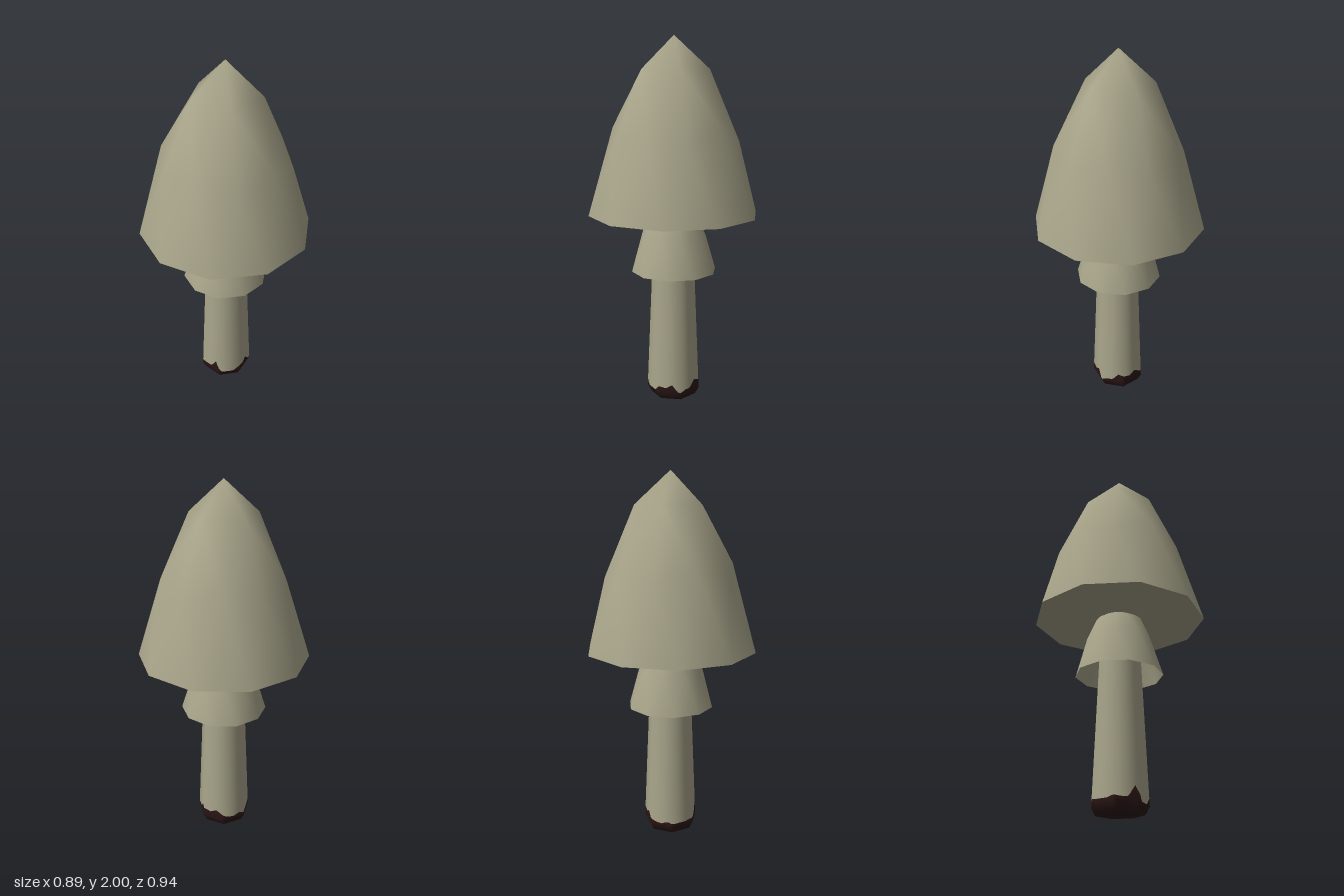
import * as THREE from 'three';

const cream = new THREE.MeshStandardMaterial({ color: 0xa8a48a, side: THREE.DoubleSide });
cream.name = 'paleCream';
const soil = new THREE.MeshStandardMaterial({ color: 0x2c1616 });
soil.name = 'darkSoil';

const rad = THREE.MathUtils.degToRad;
const polar = (deg, r, y) => [r * Math.cos(rad(deg)), y, r * Math.sin(rad(deg))];

function makeMesh(name, points, index, material) {
  const geo = new THREE.BufferGeometry();
  geo.setAttribute('position', new THREE.Float32BufferAttribute(points.flat(), 3));
  geo.setIndex(index);
  geo.computeVertexNormals();
  const mesh = new THREE.Mesh(geo, material);
  mesh.name = name;
  return mesh;
}

// Pointed half-dome: tip, ring of 5, ring of 5 low + 5 high, rim of 10
function dome(name) {
  const points = [[0, 0.95, 0]];
  const index = [];
  for (let k = 0; k < 5; k++) {
    const a = k * 72;
    points.push(
      polar(a, 0.191, 0.775), // upper ring
      polar(a, 0.351, 0.4), // low shoulder
      polar(a + 36, 0.336, 0.468), // high shoulder
      polar(a + 18, 0.469, 0), // rim
      polar(a + 54, 0.469, 0)
    );
  }
  for (let k = 0; k < 5; k++) {
    const id = (j, i) => 1 + ((j + 5) % 5) * 5 + i;
    const up = id(k, 0), low = id(k, 1), high = id(k, 2), rimA = id(k, 3), rimB = id(k, 4);
    const upNext = id(k + 1, 0), highPrev = id(k - 1, 2), rimPrev = id(k - 1, 4);
    index.push(
      0, upNext, up,
      up, upNext, high,
      up, high, low,
      up, low, highPrev,
      low, rimA, rimPrev,
      low, high, rimA,
      high, rimB, rimA
    );
    // link the shoulder back to the previous high point
    index.push(highPrev, low, rimPrev);
  }
  return makeMesh(name, points, index, cream);
}

// Seven-sided stem outline
const SIDES = 7, STEPS = 84, START = 45;
function sidedPoint(deg, r, y) {
  const side = 360 / SIDES;
  const off = ((((deg - START) % side) + side) % side) - side / 2;
  return polar(deg, (r * Math.cos(Math.PI / SIDES)) / Math.cos(rad(off)), y);
}
const stemRadius = (y) => 0.152 - (y - 0.04) * 0.043;

// Ragged height of the soil, every 15 degrees
const soilHeights = [
  0.045, 0.09, 0.07, 0.08, 0.045, 0.045, 0.045, 0.12, 0.065, 0.065, 0.07, 0.06,
  0.06, 0.06, 0.07, 0.055, 0.06, 0.08, 0.1, 0.08, 0.09, 0.1, 0.06, 0.06
];
function soilTop(deg) {
  const t = (deg % 360) / 15, i = Math.floor(t);
  return THREE.MathUtils.lerp(soilHeights[i % 24], soilHeights[(i + 1) % 24], t - i);
}

// Loft between rings given from bottom to top
function loft(name, rings, material) {
  const points = [], index = [];
  const row = STEPS + 1;
  rings.forEach((ring, j) => {
    for (let s = 0; s <= STEPS; s++) {
      points.push(ring(START + (s * 360) / STEPS));
      if (j === 0 || s === 0) continue;
      const hi = j * row + s, lo = hi - row;
      index.push(hi, lo, lo - 1, hi, lo - 1, hi - 1);
    }
  });
  return makeMesh(name, points, index, material);
}

export function createModel() {
  const group = new THREE.Group();
  group.name = 'mushroom';

  // Cap with a flat underside
  const cap = dome('cap');
  cap.position.y = 1.05;
  group.add(cap);
  const rim = [[0, 1.05, 0]], fan = [];
  for (let k = 0; k < 10; k++) {
    rim.push(polar(18 + k * 36, 0.469, 1.05));
    fan.push(0, 1 + k, 1 + ((k + 1) % 10));
  }
  group.add(makeMesh('capUnderside', rim, fan, cream));

  // Smaller hollow skirt below the cap
  const skirt = dome('skirt');
  skirt.scale.setScalar(0.505);
  skirt.position.y = 0.727;
  group.add(skirt);

  // Stem with softly rounded shading
  const stem = loft('stem', [
    (d) => sidedPoint(d, stemRadius(soilTop(d)), soilTop(d)),
    (d) => sidedPoint(d, stemRadius(1.06), 1.06)
  ], cream);
  const normal = stem.geometry.attributes.normal;
  for (let i = 0; i < normal.count; i++) {
    const a = rad(START + ((i % (STEPS + 1)) * 360) / STEPS);
    normal.setXYZ(i, Math.cos(a), 0.04, Math.sin(a));
  }
  group.add(stem);

  // Soil-stained foot
  group.add(loft('soiledFoot', [
    () => [0, 0, 0],
    (d) => sidedPoint(d, 0.13, 0),
    (d) => sidedPoint(d, stemRadius(0.04), 0.04),
    (d) => sidedPoint(d, stemRadius(soilTop(d)), soilTop(d))
  ], soil));

  return group;
}
